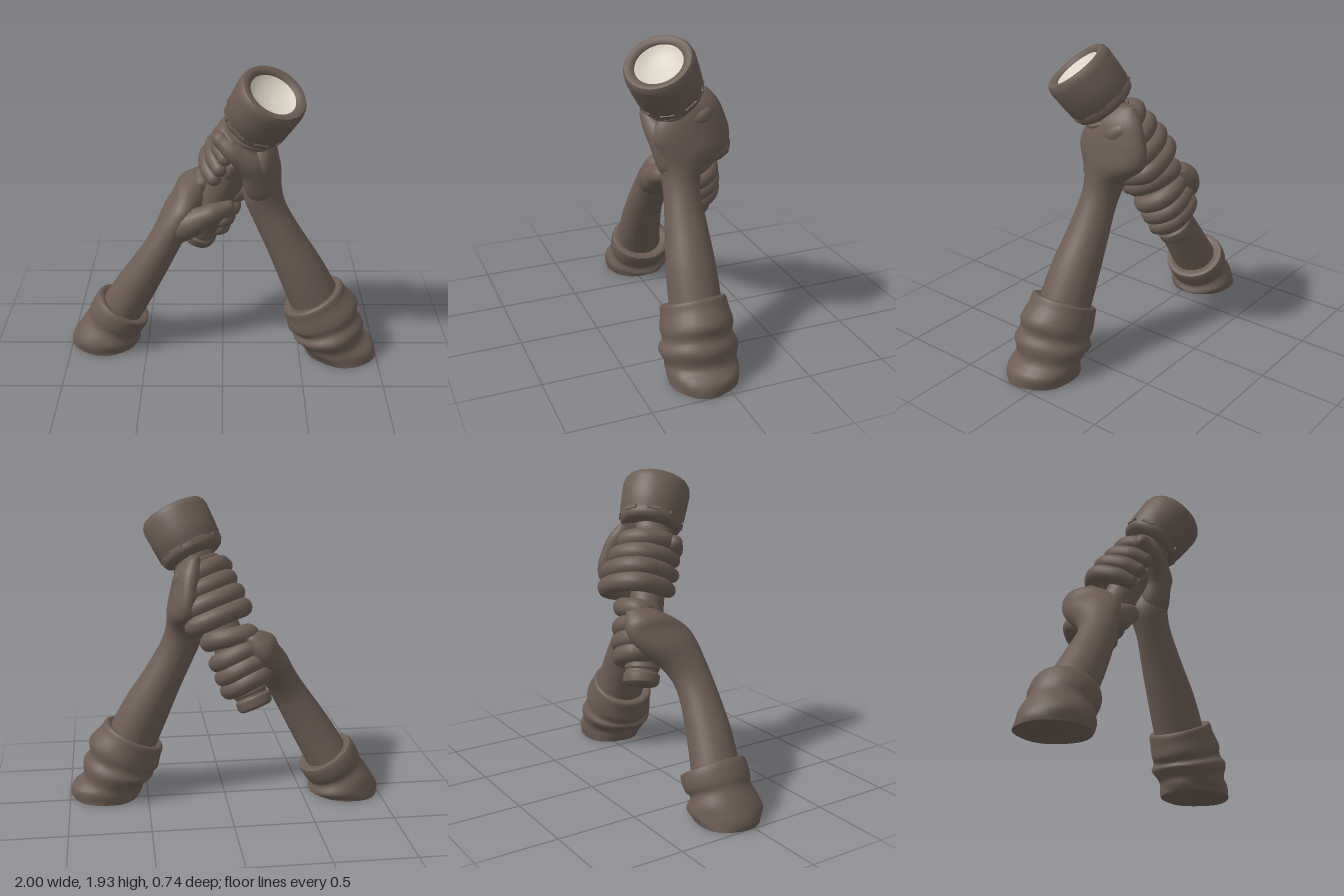
import * as THREE from 'three';
import { toCreasedNormals } from 'three/addons/utils/BufferGeometryUtils.js';

const clay = new THREE.MeshStandardMaterial({ color: 0x6b5c53 });
clay.name = 'brown clay';
const glass = new THREE.MeshStandardMaterial({ color: 0xdbd3c4 });
glass.name = 'cream lens';

const SIDES = 28;

function add(parent, name, geometry, material = clay) {
  const mesh = new THREE.Mesh(geometry, material);
  mesh.name = name;
  parent.add(mesh);
  return mesh;
}

// Closed skin over a stack of rings
function skin(rings, crease = 0.9) {
  const pos = [], idx = [], n = rings[0].length, last = (rings.length - 1) * n;
  const push = (p) => pos.push(p.x, p.y, p.z);
  rings.forEach((ring) => ring.forEach(push));
  const middle = (ring) => ring.reduce((s, p) => s.add(p), new THREE.Vector3()).divideScalar(n);
  push(middle(rings[0]));
  push(middle(rings[rings.length - 1]));
  const bottom = last + n, top = bottom + 1;
  for (let j = 0; j < n; j++) {
    const k = (j + 1) % n;
    for (let i = 0; i < last; i += n) idx.push(i + j, i + n + j, i + k, i + k, i + n + j, i + n + k);
    idx.push(bottom, j, k, top, last + k, last + j);
  }
  const g = new THREE.BufferGeometry();
  g.setAttribute('position', new THREE.Float32BufferAttribute(pos, 3));
  g.setIndex(idx);
  return toCreasedNormals(g, crease);
}

// Elliptical sections [x, y, z, radius across, radius in z, tilt in degrees], bottom to top
function sections(rows, fold = 0, crease = 0.9) {
  const steps = 4, rings = [], count = (rows.length - 1) * steps;
  for (let i = 0; i <= count; i++) {
    const k = Math.min(Math.floor(i / steps), rows.length - 2), f = i / steps - k;
    const at = (j) => rows[Math.max(0, Math.min(rows.length - 1, j))];
    const [x, y, z, a, b, tilt] = rows[0].map((_, c) => {
      const p0 = at(k - 1)[c], p1 = at(k)[c], p2 = at(k + 1)[c], p3 = at(k + 2)[c];
      return p1 + 0.5 * f * (p2 - p0 + f * (2 * p0 - 5 * p1 + 4 * p2 - p3 + f * (3 * (p1 - p2) + p3 - p0)));
    });
    const t = THREE.MathUtils.degToRad(tilt), s = i / count, ring = [];
    for (let j = 0; j < SIDES; j++) {
      const q = (j / SIDES) * Math.PI * 2;
      // cloth folds run diagonally and fade toward the top
      const w = 1 + fold * Math.max(0, 0.8 - s) * (Math.sin(2 * q + 13 * s) + 0.6 * Math.sin(5 * q - 17 * s));
      const c = Math.cos(q) * a * w;
      ring.push(new THREE.Vector3(x + c * Math.cos(t), Math.max(0, y + c * Math.sin(t)), z + Math.sin(q) * b * w));
    }
    rings.push(ring);
  }
  return skin(rings, crease);
}

// Round finger through points [x, y, z, radius] with domed ends
function finger(points) {
  const curve = new THREE.CatmullRomCurve3(points.map((p) => new THREE.Vector3(p[0], p[1], p[2])));
  const N = 22, frames = curve.computeFrenetFrames(N), rings = [];
  const ring = (i, scale, shift) => {
    const t = curve.getUtoTmapping(i / N) * (points.length - 1);
    const k = Math.min(Math.floor(t), points.length - 2);
    const r = THREE.MathUtils.lerp(points[k][3], points[k + 1][3], THREE.MathUtils.smoothstep(t - k, 0, 1));
    const c = curve.getPointAt(i / N).addScaledVector(frames.tangents[i], shift * r);
    rings.push(Array.from({ length: 16 }, (_, j) => {
      const q = (j / 16) * Math.PI * 2;
      return c.clone().addScaledVector(frames.normals[i], Math.cos(q) * r * scale)
        .addScaledVector(frames.binormals[i], -Math.sin(q) * r * scale);
    }));
  };
  const dome = [0.2, 0.6, 1.0, 1.3];
  dome.forEach((d) => ring(0, Math.sin(d), -Math.cos(d)));
  for (let i = 0; i <= N; i++) ring(i, 1, 0);
  dome.reverse().forEach((d) => ring(N, Math.sin(d), Math.cos(d)));
  return skin(rings, 1.2);
}

// Four fingers curled round the torch; side = +1 when the palm is on the +x side
function grip(parent, name, side, wrap, rows) {
  rows.forEach(([h, rise, k, tip]) => {
    const path = [
      [0.14, -0.05, 0.055, 0], [0.13, -0.155, 0.062, 0.15], [0.0, -0.185, 0.059, 0.6],
      [-0.105, -0.13, 0.06, 1], [-0.142, 0.0, 0.056, 1], [-0.105, tip, 0.047, 1],
    ];
    add(parent, name, finger(path.map(([x, z, r, f], i) => {
      const s = i < 4 ? k : wrap;
      return [side * x * s, h + rise * f, z * s, r];
    })));
  });
}

export function createModel() {
  const model = new THREE.Group();
  model.name = 'two hands holding a torch';

  // Torch frame: local y runs from the tail to the lens
  const torch = new THREE.Group();
  torch.name = 'torch';
  const tail = new THREE.Vector3(-0.17, 0.67, -0.24);
  const axis = new THREE.Vector3(0.295, 1.825, 0.17).sub(tail);
  const L = axis.length();
  axis.normalize();
  const across = new THREE.Vector3(1, 0, 0).addScaledVector(axis, -axis.x).normalize();
  const front = new THREE.Vector3().crossVectors(across, axis);
  torch.position.copy(tail);
  torch.quaternion.setFromRotationMatrix(new THREE.Matrix4().makeBasis(across, axis, front));
  model.add(torch);

  const lathe = (rows) => toCreasedNormals(
    new THREE.LatheGeometry(rows.map(([r, h]) => new THREE.Vector2(r, h)), 48), 0.6);
  add(torch, 'barrel', lathe([
    [0, 0], [0.09, 0], [0.107, 0.012], [0.112, 0.03], [0.112, 0.065], [0.1, 0.078], [0.1, 0.09],
    [0.108, 0.1], [0.106, 0.5], [0.108, 0.86], [0.135, 0.89], [0.14, 0.91], [0.125, 0.925],
    [0.128, 0.935], [0.147, 0.945], [0.147, 0.965], [0.132, 0.975], [0.13, 1.02],
  ]));

  // Head, leaning slightly forward of the barrel; its origin is mid-height
  const head = new THREE.Group();
  head.name = 'torchHead';
  head.position.y = L - 0.15;
  head.rotation.set(0.15, 0, -0.05);
  torch.add(head);
  add(head, 'headShell', lathe([
    [0.1, -0.17], [0.165, -0.165], [0.188, -0.15], [0.197, -0.13], [0.195, -0.115],
    [0.196, -0.1], [0.205, -0.085], [0.211, 0], [0.215, 0.1], [0.21, 0.13],
    [0.198, 0.148], [0.18, 0.15], [0.16, 0.143], [0.147, 0.13], [0.143, 0.115],
  ]));
  add(head, 'lens', new THREE.LatheGeometry([
    [0.146, 0.126], [0.12, 0.108], [0.085, 0.092], [0.04, 0.083], [0, 0.08],
  ].map(([r, h]) => new THREE.Vector2(r, h)), 48), glass);
  for (let i = 0; i < 8; i++) {
    const q = (i / 8) * Math.PI * 2 + 0.2;
    const lug = add(head, 'headLug', new THREE.BoxGeometry(0.085, 0.02, 0.03));
    lug.position.set(Math.sin(q) * 0.187, -0.112, Math.cos(q) * 0.187);
    lug.rotation.y = q;
  }

  const button = add(torch, 'switch', new THREE.SphereGeometry(1, 24, 16));
  button.scale.set(0.04, 0.07, 0.032);
  button.position.set(-0.035, 0.715, 0.1);

  // Curled fingers: [height, rise, knuckle reach, tip depth]
  grip(torch, 'leftFinger', 1, 1, [
    [0.6, 0, 1.25, 0.08], [0.7, 0, 1.2, 0.1], [0.795, 0, 1.08, 0.1], [0.885, 0.01, 0.95, 0.09],
  ]);
  grip(torch, 'rightFinger', -1, 0.82, [
    [0.185, -0.02, 0.76, 0.05], [0.27, -0.02, 0.83, 0.06], [0.355, -0.01, 0.85, 0.06], [0.43, 0.05, 0.86, 0.04],
  ]);

  // Left arm and hand: forearm, wrist, back of the hand
  add(model, 'leftArm', sections([
    [0.61, 0.35, 0.07, 0.165, 0.16, 30], [0.5, 0.58, 0.06, 0.15, 0.152, 30],
    [0.385, 0.8, 0.045, 0.125, 0.13, 30], [0.29, 0.99, 0.035, 0.115, 0.112, 25],
    [0.245, 1.12, 0.015, 0.122, 0.135, 12], [0.25, 1.24, -0.045, 0.112, 0.215, 5],
    [0.245, 1.34, -0.045, 0.1, 0.24, -3], [0.235, 1.44, -0.05, 0.09, 0.21, -8],
    [0.22, 1.53, -0.075, 0.075, 0.145, -8], [0.2, 1.6, -0.11, 0.03, 0.05, -8],
  ], 0, 1.3));
  add(model, 'leftThumb', finger([
    [0.23, 1.17, 0.07, 0.1], [0.18, 1.32, 0.125, 0.085], [0.07, 1.42, 0.15, 0.062], [-0.015, 1.49, 0.11, 0.05],
  ]));
  add(model, 'leftCuff', sections([
    [0.775, 0, 0.09, 0.22, 0.21, 0], [0.76, 0.06, 0.09, 0.22, 0.225, 4],
    [0.715, 0.11, 0.09, 0.2, 0.215, 8], [0.685, 0.18, 0.09, 0.235, 0.235, 14],
    [0.665, 0.23, 0.085, 0.212, 0.215, 20], [0.645, 0.285, 0.085, 0.238, 0.22, 24],
    [0.6, 0.36, 0.08, 0.215, 0.205, 28], [0.575, 0.415, 0.08, 0.2, 0.195, 28],
    [0.58, 0.405, 0.08, 0.14, 0.14, 28],
  ], 0.05));

  // Right arm and hand
  add(model, 'rightArm', sections([
    [-0.685, 0.22, -0.04, 0.14, 0.155, -33], [-0.565, 0.43, -0.01, 0.13, 0.14, -33],
    [-0.42, 0.67, 0.0, 0.11, 0.12, -38], [-0.345, 0.8, -0.03, 0.105, 0.135, -35],
    [-0.28, 0.91, -0.095, 0.11, 0.185, -30], [-0.225, 1.0, -0.145, 0.102, 0.2, -28],
    [-0.185, 1.075, -0.195, 0.1, 0.155, -25], [-0.13, 1.14, -0.23, 0.055, 0.08, -20],
  ], 0, 1.3));
  add(model, 'rightThumb', finger([
    [-0.33, 0.82, 0.0, 0.088], [-0.2, 0.895, 0.02, 0.092], [-0.08, 0.965, 0.04, 0.065], [0.03, 1.0, 0.0, 0.045],
  ]));
  add(model, 'rightCuff', sections([
    [-0.79, 0, -0.04, 0.21, 0.205, 0], [-0.775, 0.04, -0.04, 0.215, 0.22, -7],
    [-0.75, 0.085, -0.04, 0.21, 0.212, -16], [-0.725, 0.145, -0.04, 0.18, 0.19, -26],
    [-0.7, 0.19, -0.045, 0.19, 0.205, -30], [-0.65, 0.27, -0.045, 0.185, 0.2, -32],
    [-0.656, 0.26, -0.045, 0.12, 0.13, -32],
  ], 0.04));

  return model;
}
